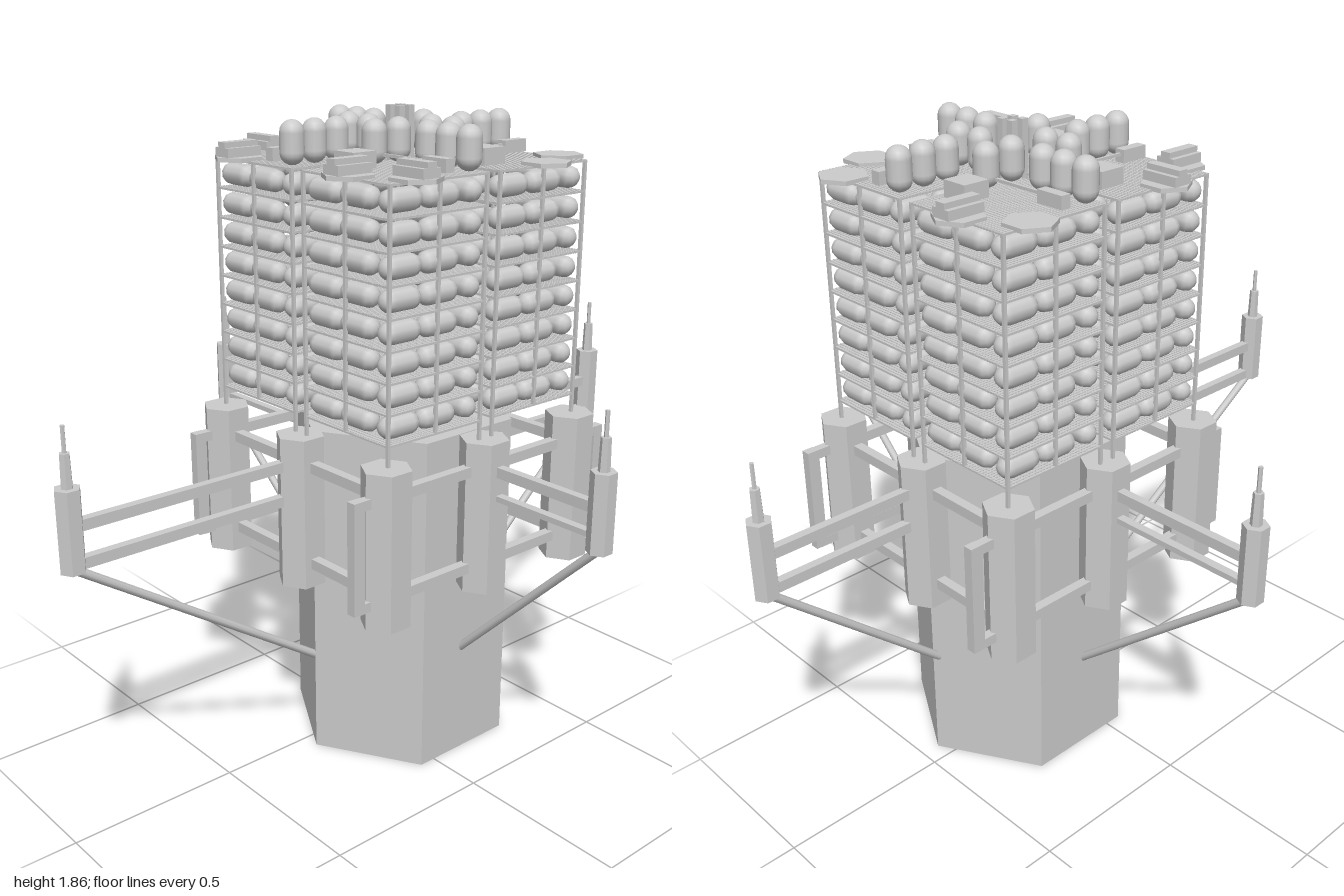
import * as THREE from 'three';
import { mergeGeometries } from 'three/addons/utils/BufferGeometryUtils.js';

const CX = 0.105, CZ = 0.045;          // tower axis
const flat = new THREE.MeshStandardMaterial({ color: 0xcccccc, flatShading: true });
const smooth = new THREE.MeshStandardMaterial({ color: 0xcccccc });

function add(parent, name, geo, x, y, z, mat = flat) {
  const m = new THREE.Mesh(geo, mat);
  m.name = name;
  m.position.set(x, y, z);
  parent.add(m);
  return m;
}

function box(parent, name, w, h, d, x, y, z) {
  return add(parent, name, new THREE.BoxGeometry(w, h, d), x, y, z);
}

// Upright hexagonal prism with corners on the x axis, standing on y0
function hex(parent, name, r, y0, y1, x, z, rTop = r) {
  const g = new THREE.CylinderGeometry(rTop, r, y1 - y0, 6).rotateY(Math.PI / 6);
  return add(parent, name, g, x, (y0 + y1) / 2, z);
}

// Round rod between two points
function rod(parent, name, a, b, r) {
  const p = new THREE.Vector3(...a), q = new THREE.Vector3(...b);
  const d = q.clone().sub(p);
  const m = add(parent, name, new THREE.CylinderGeometry(r, r, d.length(), 8), 0, 0, 0, smooth);
  m.position.copy(p).add(q).multiplyScalar(0.5);
  m.quaternion.setFromUnitVectors(new THREE.Vector3(0, 1, 0), d.normalize());
}

// Square floor grating made from crossing bars
function gratingGeometry(size) {
  const bars = [], n = 32, step = (size - 0.006) / n;
  for (let i = 0; i <= n; i++) {
    const t = -size / 2 + 0.003 + i * step;
    bars.push(new THREE.BoxGeometry(0.006, 0.006, size).translate(t, 0, 0));
    bars.push(new THREE.BoxGeometry(size, 0.004, 0.006).translate(0, 0, t));
  }
  return mergeGeometries(bars);
}

// Hexagonal column with the ring of posts and beams around its head
function buildBase(g) {
  hex(g, 'column', 0.33, 0, 1, 0.115, 0.05);
  const xs = [-0.255, 0.104, 0.455], zs = [-0.305, 0.045, 0.4];
  for (let i = 0; i < 3; i++) for (let j = 0; j < 3; j++) {
    if (i === 1 && j === 1) continue;
    hex(g, 'ringPost', 0.07, 0.56, 1, xs[i], zs[j]);
  }
  for (const y of [0.918, 0.632]) {
    for (const z of [zs[0], zs[2]]) box(g, 'ringBeam', 0.71, 0.03, 0.028, 0.1, y, z);
    for (const x of [xs[0], xs[2]]) box(g, 'ringBeam', 0.028, 0.03, 0.705, x, y, 0.0475);
  }
  // Bracket handles outside the corner posts
  for (const s of [-1, 1]) for (const z of [zs[0], zs[2]]) {
    const x = s < 0 ? -0.357 : 0.575, post = s < 0 ? xs[0] : xs[2];
    box(g, 'bracketBar', 0.036, 0.315, 0.028, x, 0.777, z);
    for (const y of [0.92, 0.632])
      box(g, 'bracketArm', Math.abs(x - post), 0.028, 0.026, (x + post) / 2, y, z);
  }
}

// Outrigger: two beams, a hexagonal pod with a stepped mast, a diagonal brace
function buildOutrigger(g, dx, dz, pod, inner, foot, footY) {
  const o = new THREE.Group();
  o.name = 'outrigger';
  g.add(o);
  const at = (t) => [dx ? t : CX, dz ? t : 0.04];
  const [px, pz] = at(pod), [mx, mz] = at((pod + inner) / 2);
  const len = Math.abs(pod - inner);
  const bars = dx ? [[0.918, 0.03], [0.817, 0.03]] : [[0.918, 0.03], [0.842, 0.016]];
  for (const [y, h] of bars)
    box(o, 'outriggerBeam', dx ? len : 0.025, h, dz ? len : 0.025, mx, y, mz);
  hex(o, 'pod', 0.035, 0.8, 1.02, px, pz);
  hex(o, 'mastBase', 0.016, 1.02, 1.11, px, pz, 0.014);
  hex(o, 'mastTip', 0.006, 1.11, 1.18, px, pz);
  const [fx, fz] = at(foot);
  rod(o, 'brace', [px, 0.805, pz], [fx, footY, fz], 0.012);
}

// One quarter of the tower; local +x +z points to its outer corner
function buildQuarter(g, k, grating) {
  const q = new THREE.Group();
  q.name = 'towerQuarter';
  q.position.set(CX, 0, CZ);
  q.rotation.y = k * Math.PI / 2;
  g.add(q);
  const C = 0.19, H = 0.17, Y0 = 1.055, STEP = 0.0825, ROOF = Y0 + 8 * STEP;

  for (let f = 0; f <= 8; f++) {
    add(q, 'floorGrating', grating, C, Y0 + f * STEP, C);
    if (f === 8) continue;
    // Pairs of lying capsules chase each other round the four edges
    for (let s = 0; s < 4; s++) {
      const side = new THREE.Group();
      side.name = 'capsuleRow';
      side.position.set(C, Y0 + f * STEP + 0.039, C);
      side.rotation.y = s * Math.PI / 2;
      q.add(side);
      for (const x of [-0.104, 0.024]) add(side, 'lyingCapsule', lyingCapsule, x, 0, 0.136, smooth);
    }
  }

  // Thin posts on the corners and edge middles, tall post by the tower axis
  for (const a of [-1, 0, 1]) for (const b of [-1, 0, 1]) {
    const inner = a === -1 && b === -1;
    if (inner || (a === 0 && b === 0)) continue;
    const y0 = a * b === 0 ? Y0 : 0.99;
    box(q, 'cornerPost', 0.009, ROOF - y0, 0.009, C + a * (H - 0.004), (y0 + ROOF) / 2, C + b * (H - 0.004));
  }
  box(q, 'axisPost', 0.02, 0.87, 0.02, 0.018, 1.425, 0.018);
  // Inner ladder
  for (const x of [-0.014, 0.014]) box(q, 'ladderRail', 0.006, 0.62, 0.006, C + x, 1.385, C);
  for (let i = 0; i < 16; i++) box(q, 'ladderRung', 0.028, 0.005, 0.005, C, 1.1 + i * 0.038, C);

  // Standing capsules on the roof
  for (const [x, z] of [[0.06, 0.06], [0.06, 0.145], [0.175, 0.06], [0.25, 0.06], [0.325, 0.06]])
    add(q, 'standingCapsule', standingCapsule, x, ROOF + 0.063, z, smooth);
  // Roof housings and pipe
  box(q, 'roofHousing', 0.078, 0.045, 0.078, 0.088, ROOF + 0.026, 0.235);
  box(q, 'pipeUnit', 0.085, 0.035, 0.03, 0.297, ROOF + 0.026, 0.14);
  box(q, 'roofPipe', 0.18, 0.008, 0.008, 0.17, ROOF + 0.03, 0.14);
  // Overhanging hexagonal pads, some carrying a stepped crate
  for (const [x, z, along, crate] of [[0.35, 0.265, 0, k > 1], [0.2, 0.355, 1, k > 0]]) {
    const p = new THREE.Group();
    p.name = 'roofPad';
    p.position.set(x, ROOF, z);
    p.rotation.y = along * -Math.PI / 2;
    q.add(p);
    hex(p, 'pad', 0.07, 0, 0.012, 0, 0);
    if (!crate) continue;
    box(p, 'crate', 0.11, 0.026, 0.058, 0, 0.024, 0);
    box(p, 'crateTop', 0.11, 0.016, 0.03, 0, 0.044, 0);
  }
}

const lyingCapsule = new THREE.CapsuleGeometry(0.031, 0.066, 3, 10).rotateZ(Math.PI / 2);
const standingCapsule = new THREE.CapsuleGeometry(0.034, 0.05, 5, 14);

export function createModel() {
  const g = new THREE.Group();
  g.name = 'tower';
  buildBase(g);
  buildOutrigger(g, 1, 0, -0.965, -0.2, -0.2, 0.295);
  buildOutrigger(g, 1, 0, 0.965, 0.42, 0.43, 0.335);
  buildOutrigger(g, 0, 1, -0.815, -0.22, -0.225, 0.305);
  buildOutrigger(g, 0, 1, 0.81, 0.32, 0.32, 0.325);
  const grating = gratingGeometry(0.34);
  for (let k = 0; k < 4; k++) buildQuarter(g, k, grating);
  return g;
}
